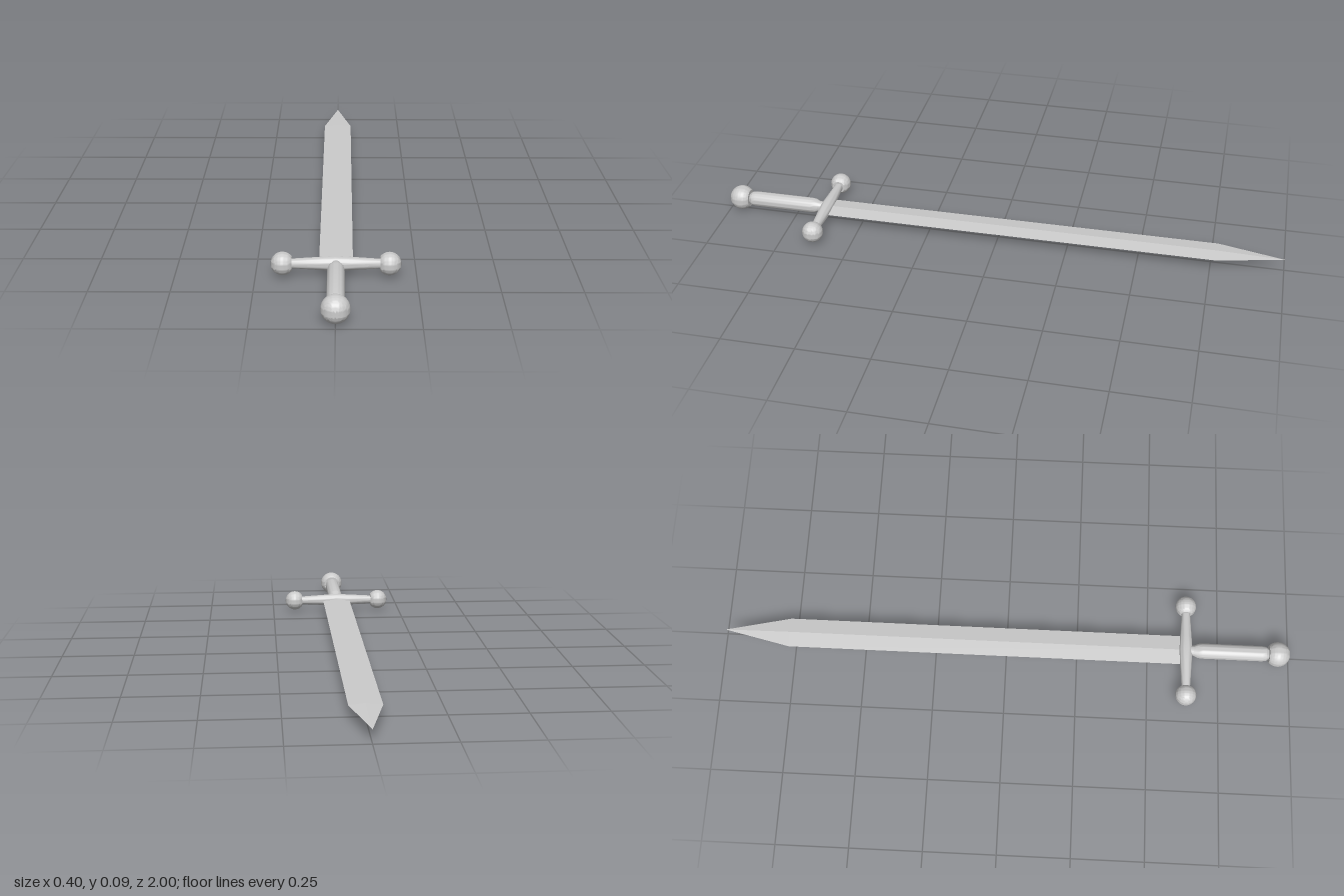
import * as THREE from 'three';
import { toCreasedNormals } from 'three/addons/utils/BufferGeometryUtils.js';

const AXIS_Y = 0.0437; // height of the sword's long axis
const GUARD_Z = 0.633;

const grey = new THREE.MeshStandardMaterial({ color: 0xcccccc });
const flatGrey = new THREE.MeshStandardMaterial({ color: 0xcccccc, flatShading: true });

// Turned solid from [radius, distance] pairs
function turned(profile, sides) {
  return new THREE.LatheGeometry(profile.map(([r, d]) => new THREE.Vector2(r, d)), sides);
}

// Ball with a flat cut on its inner side
function cutBallProfile(centre, radius, cut) {
  const start = Math.acos(cut / radius);
  const points = [[0, centre - cut]];
  for (let i = 0; i <= 20; i++) {
    const a = start + (Math.PI - start) * i / 20;
    points.push([radius * Math.sin(a), centre - radius * Math.cos(a)]);
  }
  return points;
}

export function createModel() {
  const sword = new THREE.Group();
  sword.name = 'sword';
  const add = (name, geometry, material, z = 0) => {
    const mesh = new THREE.Mesh(geometry, material);
    mesh.name = name;
    mesh.position.set(0, AXIS_Y, z);
    sword.add(mesh);
  };
  const smooth = (geometry) => toCreasedNormals(geometry, 0.5);

  // Blade: diamond section running to a point at the back
  const blade = turned([[0, -0.63], [1, -0.63], [1, 0.77], [0, 1]], 4);
  blade.rotateX(-Math.PI / 2).scale(0.0525, 0.006, 1);
  add('blade', blade, flatGrey);

  // Grip with narrowed ends
  const grip = turned([
    [0, 0.635], [0.017, 0.635], [0.018, 0.66], [0.025, 0.675], [0.027, 0.69],
    [0.027, 0.9], [0.025, 0.915], [0.018, 0.925], [0.017, 0.935], [0, 0.935],
  ], 32);
  add('grip', smooth(grip.rotateX(Math.PI / 2)), grey);

  // Pommel
  const pommel = turned(cutBallProfile(0.9565, 0.0435, 0.0315), 40);
  add('pommel', smooth(pommel.rotateX(Math.PI / 2)), grey);

  // Crossguard, thickest in the middle
  const guard = turned([
    [0, -0.145], [0.0145, -0.145], [0.0205, -0.05], [0.0235, 0],
    [0.0205, 0.05], [0.0145, 0.145], [0, 0.145],
  ], 32);
  add('crossguard', smooth(guard.rotateZ(-Math.PI / 2)), grey, GUARD_Z);

  // Balls at both ends of the crossguard
  for (const [name, side] of [['leftGuardBall', 1], ['rightGuardBall', -1]]) {
    const ball = turned(cutBallProfile(0.1655, 0.0365, 0.029), 36);
    add(name, smooth(ball.rotateZ(-side * Math.PI / 2)), grey, GUARD_Z);
  }

  return sword;
}
